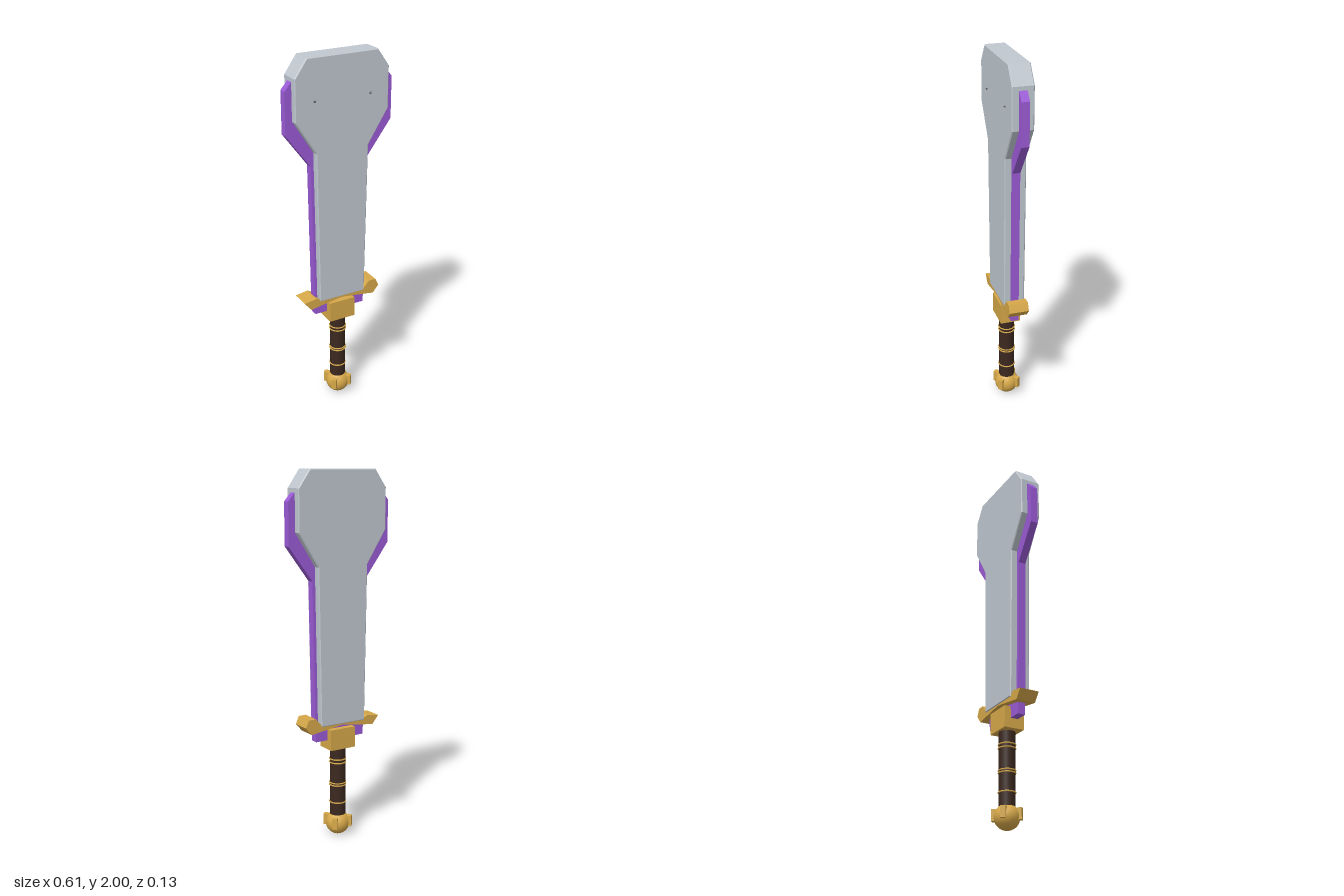
import * as THREE from 'three';

const mat = (color, flatShading = false) => new THREE.MeshStandardMaterial({ color, flatShading });

// Closed outline from its right half (bottom to top), mirrored in x
const mirrored = (half) => [...half, ...half.map(([x, y]) => [-x, y]).reverse()];

// Plate with the given outline, centred on z = 0
function plate(points, depth, bevel = 0) {
  const shape = new THREE.Shape(points.map(([x, y]) => new THREE.Vector2(x, y)));
  const geo = new THREE.ExtrudeGeometry(shape, {
    depth: depth - 2 * bevel, bevelEnabled: bevel > 0, bevelSize: bevel,
    bevelThickness: bevel, bevelOffset: -bevel, bevelSegments: 1,
  });
  return geo.translate(0, 0, -depth / 2 + bevel);
}

export function createModel() {
  const model = new THREE.Group();
  const steel = mat(0xc0c8d0, true);
  const purple = mat(0x9b5bd6, true);
  const gold = mat(0xd6a849, true);
  const smoothGold = mat(0xd6a849);
  const leather = mat(0x3b281f);
  const dark = mat(0x55585c, true);

  function add(name, geo, material, x = 0, y = 0, z = 0, parent = model) {
    const mesh = new THREE.Mesh(geo, material);
    mesh.name = name;
    mesh.position.set(x, y, z);
    parent.add(mesh);
    return mesh;
  }

  // Broad steel blade with a thin edge bevel
  const bladeHalf = [[0.138, 0.65], [0.152, 1.505], [0.267, 1.685], [0.267, 1.905], [0.2, 2]];
  add('blade', plate(mirrored(bladeHalf), 0.114, 0.005), steel, 0, 0, -0.001);

  // Purple core showing along both edges
  const coreHalf = [[0.15, 0.56], [0.154, 0.65], [0.167, 1.43], [0.305, 1.615], [0.305, 1.84], [0.262, 1.89]];
  add('bladeCore', plate(mirrored(coreHalf), 0.042), purple);

  // Small rivets on the front face
  for (const x of [-0.158, 0.158]) {
    const rivet = add('rivet', new THREE.ConeGeometry(0.008, 0.01, 6), dark, x, 1.78, 0.06);
    rivet.rotation.x = Math.PI / 2;
  }

  // Uneven crossguard, one raised tip and one pointed tip
  const guard = [
    [0, 0.645], [0.197, 0.617], [0.232, 0.658], [0.213, 0.7], [0.17, 0.7], [0.135, 0.66],
    [-0.135, 0.66], [-0.16, 0.675], [-0.232, 0.664], [-0.193, 0.616],
  ];
  add('crossguard', plate(guard, 0.108), gold);
  add('collar', new THREE.BoxGeometry(0.154, 0.115, 0.112), gold, 0, 0.565, 0);

  // Grip with thin rings
  add('grip', new THREE.CylinderGeometry(0.043, 0.043, 0.41, 20), leather, 0, 0.31, 0);
  for (const y of [0.19, 0.29, 0.303, 0.42, 0.44]) {
    const ring = add('gripRing', new THREE.TorusGeometry(0.044, 0.004, 6, 20), smoothGold, 0, y, 0);
    ring.rotation.x = Math.PI / 2;
  }

  // Round pommel with four diagonal studs
  const pommel = new THREE.Group();
  pommel.name = 'pommel';
  pommel.position.y = 0.067;
  model.add(pommel);
  add('pommelBall', new THREE.SphereGeometry(0.067, 20, 14), smoothGold, 0, 0, 0, pommel);
  for (let i = 0; i < 4; i++) {
    const a = Math.PI / 4 + i * Math.PI / 2;
    const stud = add('pommelStud', new THREE.BoxGeometry(0.028, 0.06, 0.03), gold,
      Math.sin(a) * 0.064, 0.012, Math.cos(a) * 0.064, pommel);
    stud.rotation.y = a;
  }
  return model;
}
